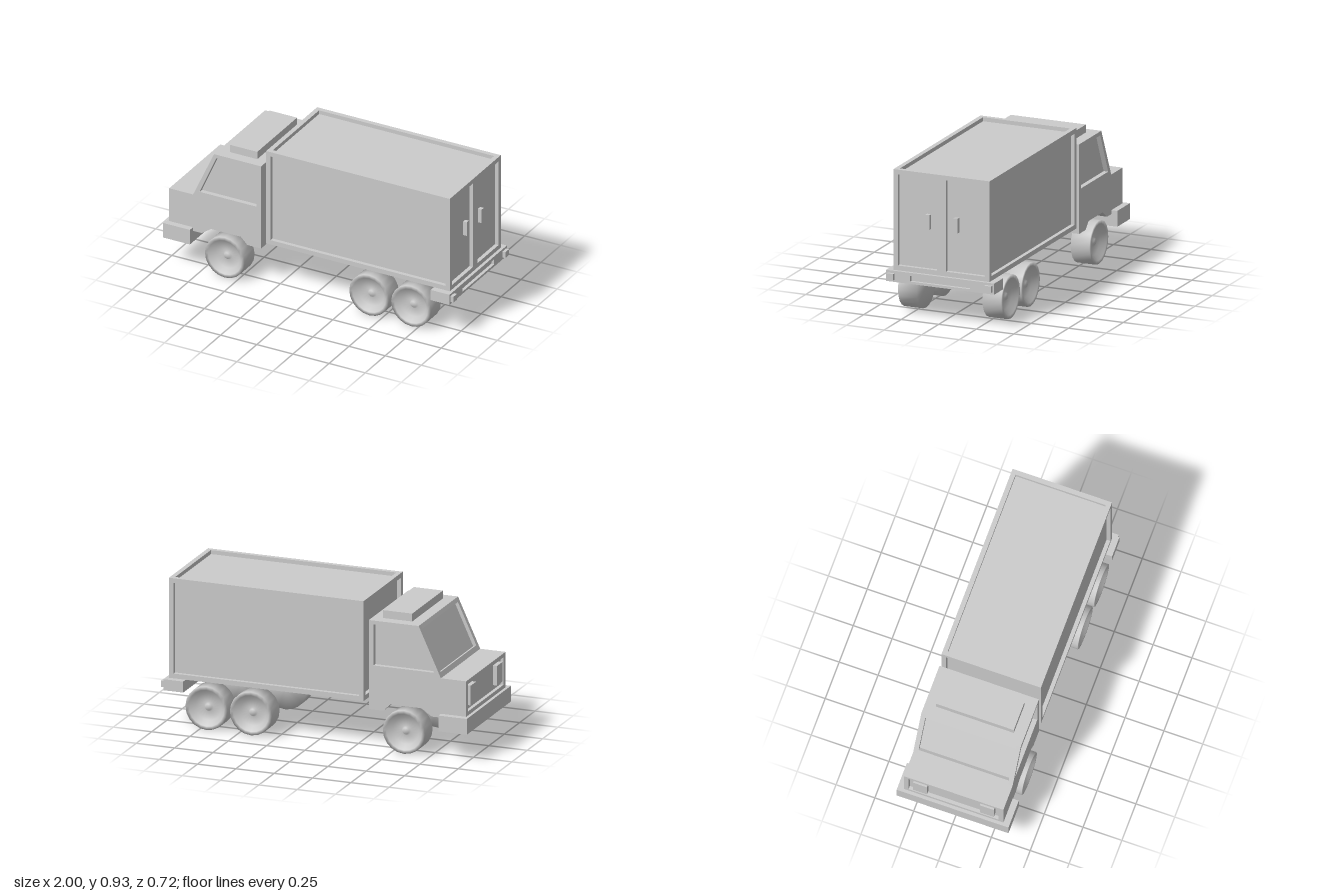
import * as THREE from 'three';

const material = new THREE.MeshStandardMaterial({ color: 0xcccccc });

export function createModel() {
  const truck = new THREE.Group();
  truck.name = 'truck';

  const add = (name, geometry, parent = truck) => {
    const mesh = new THREE.Mesh(geometry, material);
    mesh.name = name;
    parent.add(mesh);
    return mesh;
  };
  // Box given by its limits on each axis
  const box = (name, [x0, x1], [y0, y1], [z0, z1], parent) => {
    const mesh = add(name, new THREE.BoxGeometry(x1 - x0, y1 - y0, z1 - z0), parent);
    mesh.position.set((x0 + x1) / 2, (y0 + y1) / 2, (z0 + z1) / 2);
    return mesh;
  };
  const points = (list) => list.map(([x, y]) => new THREE.Vector2(x, y));
  const extrude = (outline, hole, depth) => {
    const shape = new THREE.Shape(points(outline));
    if (hole) shape.holes.push(new THREE.Path(points(hole)));
    return new THREE.ExtrudeGeometry(shape, { depth, bevelEnabled: false });
  };

  // Cab: a middle slab with sunken windscreen and grille, between two side skins
  const cab = new THREE.Group();
  cab.name = 'cab';
  truck.add(cab);
  const under = [[-0.98, 0.25], [-0.755, 0.25], [-0.69, 0.295], [-0.485, 0.295],
    [-0.44, 0.25], [-0.345, 0.25], [-0.345, 0.815], [-0.67, 0.815]];
  const sideOutline = [...under, [-0.815, 0.5], [-0.98, 0.5]];
  const middleOutline = [...under,
    [-0.682, 0.79], [-0.662, 0.781], [-0.781, 0.521], [-0.801, 0.53],
    [-0.815, 0.5], [-0.98, 0.5],
    [-0.98, 0.475], [-0.958, 0.475], [-0.958, 0.3], [-0.98, 0.3]];
  const windowOutline = [[-0.77, 0.53], [-0.375, 0.53], [-0.375, 0.79], [-0.655, 0.79]];
  add('cabBody', extrude(middleOutline, null, 0.58), cab).position.z = -0.29;
  for (const z of [0.29, -0.32]) {
    add('cabSide', extrude(sideOutline, windowOutline, 0.03), cab).position.z = z;
  }
  box('roofFairing', [-0.6, -0.41], [0.81, 0.865], [-0.25, 0.25], cab);
  box('frontBumper', [-1, -0.815], [0.175, 0.275], [-0.36, 0.36], cab);

  // Cargo box: inset core with a frame of beams around it
  const cargo = new THREE.Group();
  cargo.name = 'cargoBox';
  truck.add(cargo);
  const X = [-0.31, 0.96], Y = [0.295, 0.93], Z = [-0.32, 0.32], t = 0.03;
  box('cargoCore', [X[0] + 0.025, X[1] - 0.025], [Y[0], Y[1] - 0.025], [-0.295, 0.295], cargo);
  const ends = ([a, b]) => [[a, a + t], [b - t, b]];
  const inner = ([a, b]) => [a + t, b - t];
  for (const y of ends(Y)) for (const z of ends(Z)) box('longBeam', X, y, z, cargo);
  for (const x of ends(X)) {
    for (const z of ends(Z)) box('cornerPost', x, inner(Y), z, cargo);
    for (const y of ends(Y)) box('crossBeam', x, y, inner(Z), cargo);
  }
  box('doorPost', [0.93, 0.96], inner(Y), [-t, t], cargo);

  // Rear bumper with a long slot in its back face
  const rect = (w, y0, y1) => [[-w, y0], [w, y0], [w, y1], [-w, y1]];
  box('rearBumper', [0.85, 0.96], [0.225, 0.295], [-0.36, 0.36]);
  const slotFace = extrude(rect(0.36, 0.225, 0.295), rect(0.2, 0.24, 0.275), 0.02);
  add('rearBumperFace', slotFace.rotateY(Math.PI / 2)).position.x = 0.96;

  // Wheel: closed inner side, raised rim, dished outer side with a hub
  const wheelProfile = points([[0, -0.0625], [0.1375, -0.0625], [0.1375, 0.0625],
    [0.115, 0.0625], [0.085, 0.03], [0.03, 0.022], [0.02, 0.037], [0, 0.037]]);
  const wheelGeometry = new THREE.LatheGeometry(wheelProfile, 20);

  // Parts mirrored on both sides
  for (const s of [1, -1]) {
    const span = (a, b) => (s > 0 ? [a, b] : [-b, -a]);
    box('headlight', [-0.985, -0.95], [0.33, 0.455], span(0.17, 0.26), cab);
    box('doorHandle', [0.93, 0.96], [0.575, 0.668], span(0.08, 0.107), cargo);
    box('tailLight', [0.975, 1], [0.24, 0.28], span(0.303, 0.348));
    for (const x of [-0.583, 0.415, 0.705]) {
      const wheel = add('wheel', wheelGeometry);
      wheel.position.set(x, 0.1375, s * 0.281);
      wheel.rotation.x = s * Math.PI / 2;
    }
  }
  return truck;
}
